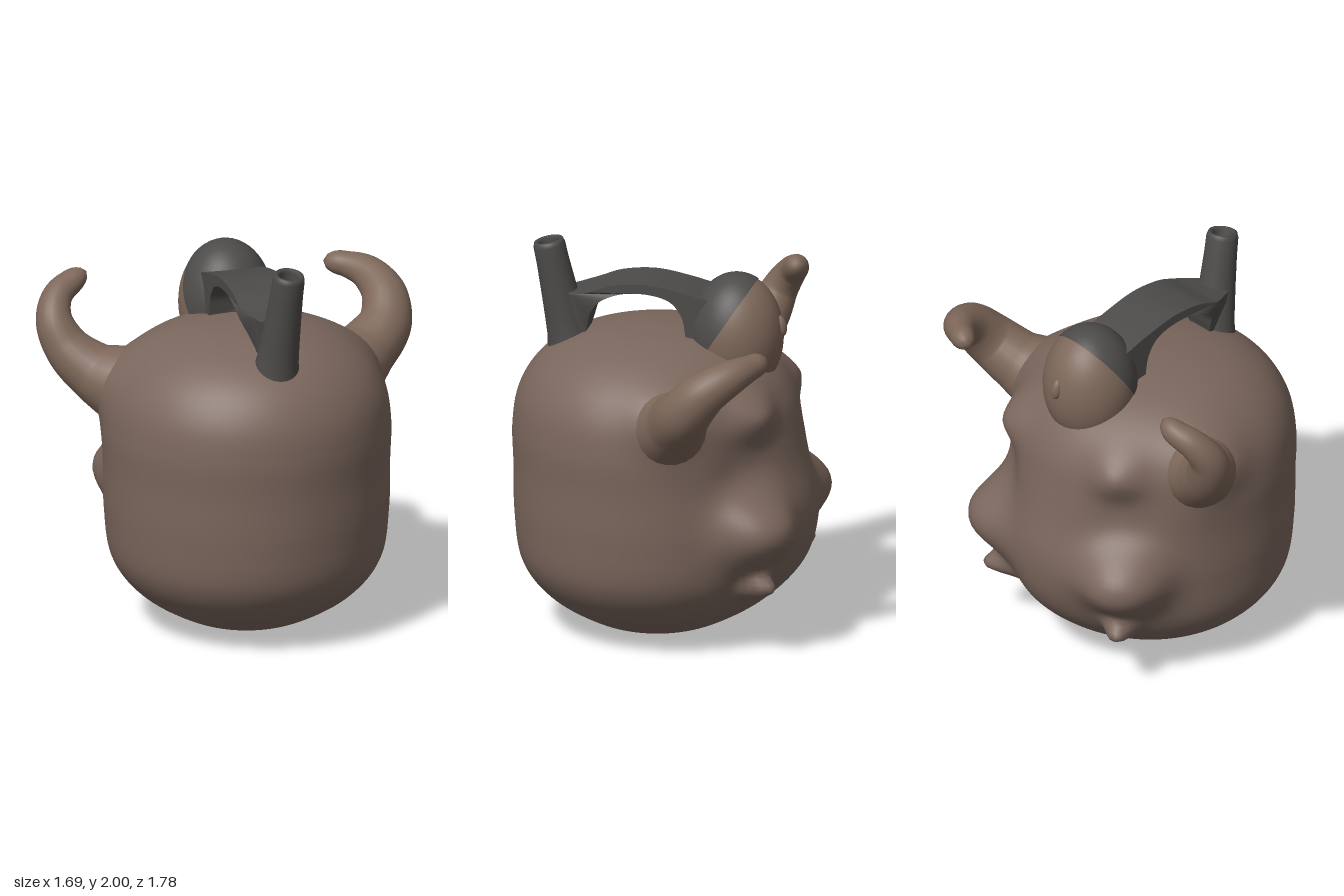
import * as THREE from 'three';
import { mergeVertices, toCreasedNormals } from 'three/addons/utils/BufferGeometryUtils.js';

const V = (x, y, z) => new THREE.Vector3(x, y, z);
const P = (x, y) => new THREE.Vector2(x, y);
const clay = new THREE.MeshStandardMaterial({ color: 0x7a665c });
const tan = new THREE.MeshStandardMaterial({ color: 0x7d6759 });
const dark = new THREE.MeshStandardMaterial({ color: 0x4d4b49 });

// The pot's axis, and the heading its modelled figure faces
const axis = V(0.12, 0, 0.17);
const facingAngle = -2.21;

function add(parent, name, geometry, material) {
  const mesh = new THREE.Mesh(geometry, material);
  mesh.name = name;
  parent.add(mesh);
  return mesh;
}

function smooth(geometry) {
  geometry.deleteAttribute('uv');
  geometry.deleteAttribute('normal');
  const merged = mergeVertices(geometry, 1e-5);
  merged.computeVertexNormals();
  return merged;
}

// Swellings on the body: [angle from the facing direction, height, amount, spread]
const bumps = [[0, 0.62, 0.1, 0.23]];
for (const side of [-1, 1]) {
  bumps.push(
    [side * 0.635, 0.65, 0.195, 0.135], // knee
    [side * 0.6, 0.355, 0.15, 0.048], // foot
    [side * 0.56, 1.24, 0.06, 0.095], // breast
    [side * 0.56, 1.24, 0.01, 0.035], // nipple
    [side * 0.65, 1.0, -0.04, 0.13], // waist hollow
    [side * 1.27, 1.28, 0.06, 0.13] // shoulder
  );
}

// Round body with the swellings pushed out radially
function bodyGeometry() {
  const profile = new THREE.SplineCurve([
    P(0, 0), P(0.17, 0.01), P(0.34, 0.06), P(0.55, 0.19), P(0.675, 0.36), P(0.71, 0.6), P(0.715, 0.85),
    P(0.72, 1.05), P(0.69, 1.23), P(0.6, 1.38), P(0.45, 1.49), P(0.25, 1.55), P(0, 1.57),
  ]);
  const points = profile.getPoints(110);
  points.forEach((p) => { p.x = Math.max(p.x, 0); p.y = Math.max(p.y, 0); });
  const geo = new THREE.LatheGeometry(points, 160);
  const pos = geo.attributes.position;
  for (let i = 0; i < pos.count; i++) {
    const x = pos.getX(i), y = pos.getY(i), z = pos.getZ(i);
    const r = Math.hypot(x, z);
    if (r < 0.01) continue;
    const raw = Math.atan2(x, z) - facingAngle;
    const angle = Math.atan2(Math.sin(raw), Math.cos(raw));
    let push = 0;
    for (const [a, h, amount, spread] of bumps) {
      const d2 = (r * (angle - a)) ** 2 + (y - h) ** 2;
      push += amount * Math.exp(-((d2 / (2 * spread * spread)) ** 1.2));
    }
    pos.setX(i, x * (1 + push / r));
    pos.setZ(i, z * (1 + push / r));
  }
  return smooth(geo).translate(axis.x, 0, axis.z);
}

// Tapered limb through [x, y, z, radius] stations, rounded at the tip
function limbGeometry(stations) {
  const curve = new THREE.CatmullRomCurve3(stations.map(([x, y, z]) => V(x, y, z)));
  const rings = 60, sides = 24;
  const geo = new THREE.TubeGeometry(curve, rings, 1, sides);
  const pos = geo.attributes.position;
  const p = V(0, 0, 0);
  for (let i = 0; i <= rings; i++) {
    const u = i / rings;
    const t = curve.getUtoTmapping(u) * (stations.length - 1);
    const k = Math.min(Math.floor(t), stations.length - 2);
    let r = THREE.MathUtils.lerp(stations[k][3], stations[k + 1][3], t - k);
    if (u > 0.92) r *= Math.sqrt(Math.max(0, 1 - ((u - 0.92) / 0.08) ** 2));
    const centre = curve.getPointAt(u);
    for (let j = 0; j <= sides; j++) {
      const n = i * (sides + 1) + j;
      p.fromBufferAttribute(pos, n).sub(centre).multiplyScalar(r).add(centre);
      pos.setXYZ(n, p.x, p.y, p.z);
    }
  }
  return smooth(geo);
}

// Flat arched handle whose foot narrows where it meets the spout
function bridgeGeometry() {
  const shape = new THREE.Shape();
  shape.moveTo(0, 1.48);
  shape.lineTo(0, 1.74);
  shape.splineThru([P(0.15, 1.78), P(0.33, 1.81), P(0.5, 1.795), P(0.63, 1.75), P(0.76, 1.72)]);
  shape.lineTo(0.76, 1.48);
  shape.lineTo(0.66, 1.48);
  shape.splineThru([P(0.635, 1.57), P(0.615, 1.64), P(0.56, 1.71), P(0.45, 1.755), P(0.32, 1.76),
    P(0.21, 1.73), P(0.15, 1.66), P(0.13, 1.58), P(0.12, 1.48)]);
  const geo = new THREE.ExtrudeGeometry(shape, { depth: 1, bevelEnabled: false, curveSegments: 30 });
  const pos = geo.attributes.position;
  for (let i = 0; i < pos.count; i++) {
    const x = pos.getX(i), y = pos.getY(i);
    const foot = THREE.MathUtils.smoothstep(x, 0.4, 0.6) * (1 - THREE.MathUtils.smoothstep(y, 1.5, 1.74));
    const end = THREE.MathUtils.smoothstep(x, 0.6, 0.8);
    const width = 0.3 * (1 - 0.5 * foot) * (1 - 0.45 * end);
    pos.setZ(i, (pos.getZ(i) - 0.5) * width);
  }
  return toCreasedNormals(geo, 0.7);
}

export function createModel() {
  const model = new THREE.Group();
  model.name = 'figureVessel';
  add(model, 'body', bodyGeometry(), clay);

  // Raised arms with curled hands
  add(model, 'rearArm', limbGeometry([
    [0.25, 1.13, -0.2, 0.29], [0.31, 1.2, -0.4, 0.205], [0.335, 1.27, -0.55, 0.155], [0.345, 1.365, -0.68, 0.135],
    [0.28, 1.48, -0.765, 0.115], [0.15, 1.56, -0.8, 0.088], [0.03, 1.59, -0.775, 0.064], [-0.07, 1.6, -0.725, 0.056],
  ]), tan);
  add(model, 'frontArm', limbGeometry([
    [-0.24, 1.14, 0.4, 0.29], [-0.41, 1.22, 0.5, 0.2], [-0.55, 1.285, 0.56, 0.145], [-0.67, 1.39, 0.605, 0.115],
    [-0.745, 1.52, 0.61, 0.092], [-0.775, 1.62, 0.54, 0.075], [-0.76, 1.67, 0.45, 0.064], [-0.72, 1.715, 0.375, 0.05],
  ]), tan);

  // Head, turned to the facing direction
  const head = new THREE.Group();
  head.name = 'head';
  head.position.set(-0.2, 1.54, -0.085);
  head.rotation.y = facingAngle;
  model.add(head);
  add(head, 'face', new THREE.SphereGeometry(1, 48, 32), tan).scale.set(0.235, 0.315, 0.235);
  const hair = new THREE.Group();
  hair.name = 'hair';
  hair.scale.set(0.239, 0.32, 0.239);
  head.add(hair);
  add(hair, 'hairCap', new THREE.SphereGeometry(1, 48, 24, 0, Math.PI * 2, 0, 1.3), dark).rotation.x = -0.85;
  const nose = add(head, 'nose', new THREE.SphereGeometry(1, 20, 16), tan);
  nose.scale.set(0.028, 0.055, 0.03);
  nose.position.set(0, 0.06, 0.225);
  nose.rotation.x = -0.2;

  // Bridge handle from head to spout
  const bridge = add(model, 'bridgeHandle', bridgeGeometry(), dark);
  bridge.position.set(-0.12, 0, -0.015);
  bridge.rotation.y = -Math.atan2(0.58, 0.816);

  // Hollow leaning spout
  const spoutProfile = [P(0.12, 0), P(0.105, 0.08), P(0.098, 0.17), P(0.09, 0.3), P(0.082, 0.45), P(0.08, 0.54),
    P(0.073, 0.562), P(0.06, 0.565), P(0.048, 0.55), P(0.045, 0.4), P(0.045, 0.25), P(0, 0.25)];
  const spout = add(model, 'spout', new THREE.LatheGeometry(spoutProfile, 40), dark);
  spout.position.set(0.48, 1.43, 0.41);
  spout.quaternion.setFromUnitVectors(V(0, 1, 0), V(0.11, 0.55, 0.035).normalize());

  return model;
}
